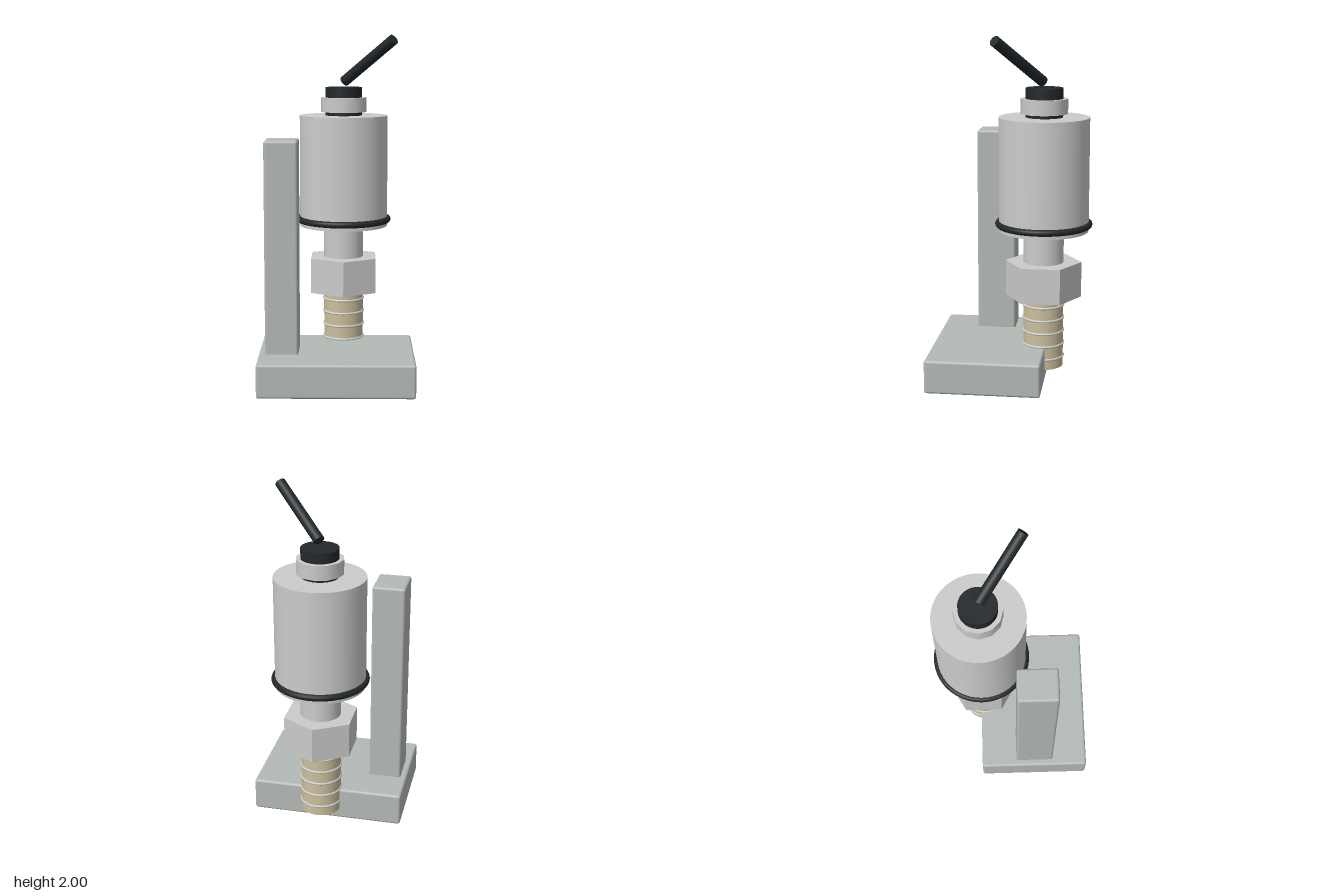
import * as THREE from 'three';
import { RoundedBoxGeometry } from 'three/addons/geometries/RoundedBoxGeometry.js';

const paint = (color, flatShading = false) => new THREE.MeshStandardMaterial({ color, flatShading });

export function createModel() {
  const model = new THREE.Group();
  const grey = paint(0xcccccc), black = paint(0x22282b), tan = paint(0xcbbf9c), stone = paint(0xb4bab6);

  const add = (parent, name, geometry, material, x = 0, y = 0, z = 0) => {
    const mesh = new THREE.Mesh(geometry, material);
    mesh.name = name;
    mesh.position.set(x, y, z);
    parent.add(mesh);
    return mesh;
  };

  // Base block and upright post
  add(model, 'base', new RoundedBoxGeometry(0.89, 0.195, 0.66, 3, 0.015), stone, 0, 0.0975, 0.13);
  add(model, 'post', new RoundedBoxGeometry(0.19, 1.235, 0.23, 3, 0.015), stone, -0.313, 0.7975, 0.131);

  // Everything round shares one vertical axis
  const sensor = new THREE.Group();
  sensor.name = 'sensor';
  sensor.position.set(0.037, 0, -0.18);
  model.add(sensor);

  const turned = (name, radius, bottom, top, material, sides = 48) =>
    add(sensor, name, new THREE.CylinderGeometry(radius, radius, top - bottom, sides), material, 0, (bottom + top) / 2);
  const ring = (name, radius, tube, y, material) => {
    add(sensor, name, new THREE.TorusGeometry(radius, tube, 12, 64), material, 0, y).rotation.x = Math.PI / 2;
  };

  turned('threadedStem', 0.117, 0.063, 0.485, tan);
  for (let i = 0; i < 5; i++) ring('threadRidge', 0.117, 0.007, 0.122 + i * 0.078, grey);
  turned('hexNut', 0.221, 0.483, 0.69, paint(0xcccccc, true), 6);
  turned('neck', 0.117, 0.69, 0.877, grey);
  turned('body', 0.26, 0.877, 1.533, grey);
  ring('sealRing', 0.262, 0.019, 0.916, black);
  turned('collar', 0.135, 1.553, 1.638, grey, 12);
  turned('cableGland', 0.107, 1.53, 1.698, black);

  // Cable leaving the gland at a slant
  const start = new THREE.Vector3(0.042, 1.733, -0.172);
  const end = new THREE.Vector3(0.32, 1.974, 0.066);
  const along = end.clone().sub(start);
  const middle = start.clone().add(end).multiplyScalar(0.5);
  add(model, 'cable', new THREE.CylinderGeometry(0.031, 0.031, along.length(), 24), black, middle.x, middle.y, middle.z)
    .quaternion.setFromUnitVectors(new THREE.Vector3(0, 1, 0), along.clone().normalize());

  return model;
}
